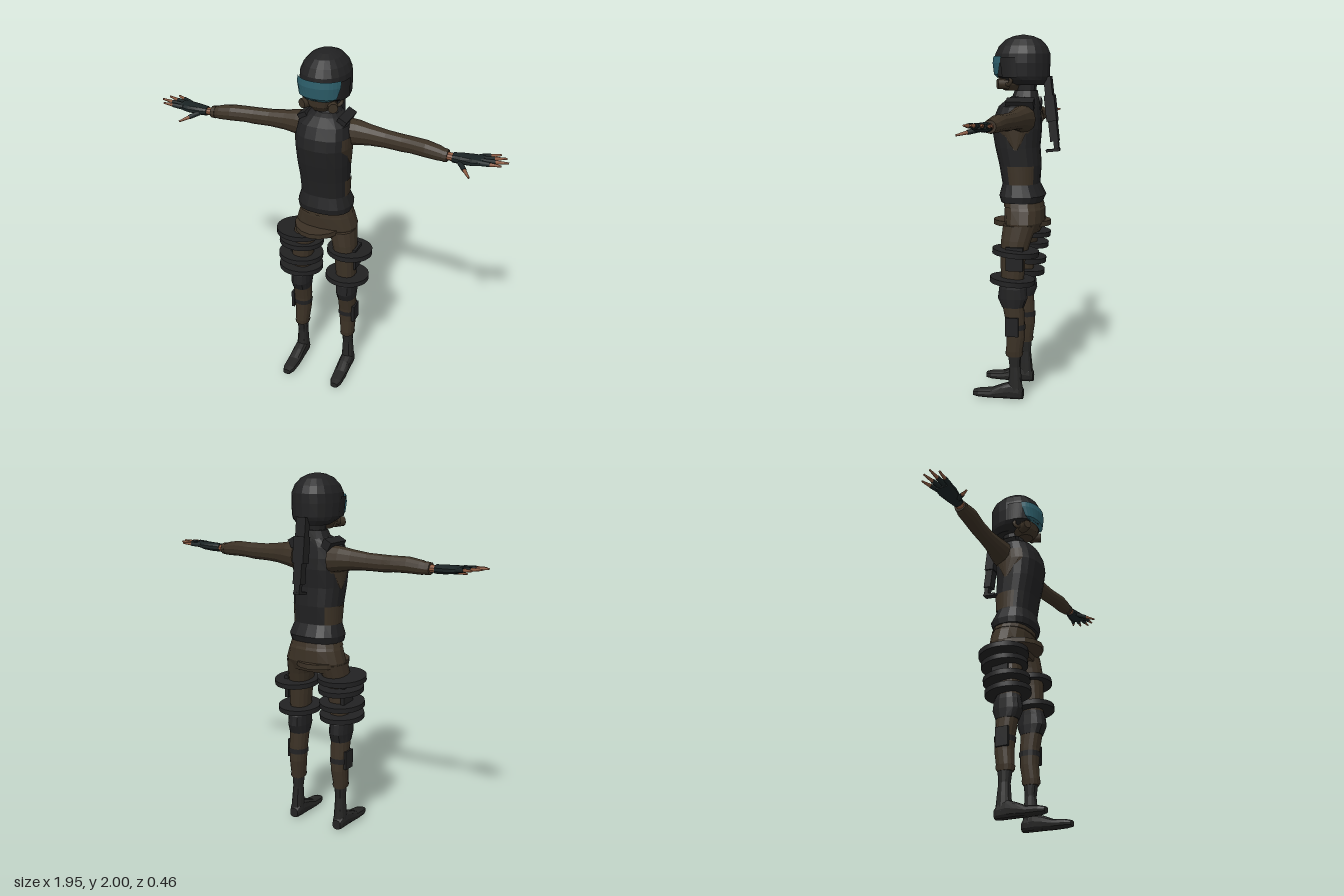
import * as THREE from 'three';

const mat = (name, color) => {
  const m = new THREE.MeshStandardMaterial({ color });
  m.name = name;
  return m;
};

// Lofts rings [s, c1, c2, r1, r2, angle0, angle1] along an axis, with faceted normals.
// y: c1 = x, c2 = z.  x: c1 = z, c2 = y.  z: c1 = y, c2 = x.
function loft(rings, axis = 'y', n = 14, p = 0.85) {
  const pos = [], idx = [];
  const pw = v => Math.sign(v) * Math.pow(Math.abs(v), p);
  const put = (s, a, b) => pos.push(...(axis === 'y' ? [a, s, b] : axis === 'x' ? [s, b, a] : [b, a, s]));
  for (const [s, c1, c2, r1, r2, t0 = 0, t1 = 2 * Math.PI] of rings) {
    for (let j = 0; j <= n; j++) {
      const t = t0 + (t1 - t0) * j / n;
      put(s, c1 + r1 * pw(Math.sin(t)), c2 + r2 * pw(Math.cos(t)));
    }
  }
  const w = n + 1, last = (rings.length - 1) * w;
  for (let i = 0; i < last; i += w) {
    for (let j = i; j < i + n; j++) idx.push(j, j + 1, j + w, j + 1, j + w + 1, j + w);
  }
  if (rings[0].length === 5) {
    const c = pos.length / 3, a = rings[0], b = rings[rings.length - 1];
    put(a[0], a[1], a[2]);
    put(b[0], b[1], b[2]);
    for (let j = 0; j < n; j++) idx.push(c, j + 1, j, c + 1, last + j, last + j + 1);
  }
  let g = new THREE.BufferGeometry();
  g.setAttribute('position', new THREE.Float32BufferAttribute(pos, 3));
  g.setIndex(idx);
  g = g.toNonIndexed();
  g.computeVertexNormals();
  return g;
}

// Thin skin over a lofted body: rows are [y, angle0, angle1] in degrees from the front.
function skinOver(rings, rows, off, n = 8) {
  return loft(rows.map(([y, a, b]) => {
    const i = Math.max(1, rings.findIndex(r => r[0] >= y));
    const lo = rings[i - 1], hi = rings[i], k = (y - lo[0]) / (hi[0] - lo[0]);
    const v = lo.map((q, m) => q + (hi[m] - q) * k);
    return [y, v[1], v[2], v[3] + off, v[4] + off, a * Math.PI / 180, b * Math.PI / 180];
  }), 'y', n);
}

export function createModel() {
  const root = new THREE.Group();
  root.name = 'armouredFigure';
  const black = mat('black armour', 0x212122), brown = mat('brown cloth', 0x3b3125),
    teal = mat('teal visor', 0x2c5d69), skin = mat('skin', 0x8c5a40),
    glove = mat('dark glove', 0x1a2324), boot = mat('boot grey', 0x252524);
  teal.side = THREE.DoubleSide;

  const add = (parent, name, geo, m, x = 0, y = 0, z = 0) => {
    const mesh = new THREE.Mesh(geo, m);
    mesh.name = name;
    mesh.position.set(x, y, z);
    parent.add(mesh);
    return mesh;
  };
  const box = (w, h, d) => new THREE.BoxGeometry(w, h, d);
  // Tapered rod between two points
  const rod = (parent, name, a, b, r0, r1, m) => {
    const d = b.clone().sub(a);
    const mesh = add(parent, name, new THREE.CylinderGeometry(r1, r0, d.length(), 7), m);
    mesh.position.copy(a).addScaledVector(d, 0.5);
    mesh.quaternion.setFromUnitVectors(new THREE.Vector3(0, 1, 0), d.normalize());
  };

  // Helmet, visor and mask
  const helmet = [
    [1.735, 0, -0.065, 0.085, 0.085], [1.76, 0, -0.045, 0.118, 0.12], [1.78, 0, -0.027, 0.128, 0.147],
    [1.85, 0, -0.024, 0.133, 0.153], [1.9, 0, -0.027, 0.129, 0.15], [1.94, 0, -0.029, 0.112, 0.132],
    [1.975, 0, -0.03, 0.08, 0.097], [1.993, 0, -0.03, 0.044, 0.054], [2, 0, -0.03, 0.012, 0.014]];
  add(root, 'helmet', loft(helmet, 'y', 20, 0.95), black);
  add(root, 'visor', skinOver(helmet, [[1.772, -24, 24], [1.79, -46, 46], [1.85, -56, 56], [1.886, -56, 56]], 0.007, 12), teal);
  for (const s of [-1, 1]) {
    add(root, 'visorMount', skinOver(helmet, [[1.775, s * 70 - 17, s * 70 + 17], [1.88, s * 70 - 17, s * 70 + 17]], 0.006), black);
  }
  add(root, 'mask', loft([[1.705, 0, 0.03, 0.045, 0.05], [1.735, 0, 0.035, 0.07, 0.068], [1.79, 0, 0.035, 0.09, 0.075]], 'y', 12), brown);
  for (const s of [-1, 1]) {
    add(root, 'maskFilter', new THREE.CylinderGeometry(0.026, 0.03, 0.06, 9).rotateX(Math.PI / 2).rotateY(s * 0.5), brown, s * 0.072, 1.74, 0.068);
    add(root, 'maskHose', new THREE.TorusGeometry(0.024, 0.011, 6, 10).rotateY(s * 0.9), brown, s * 0.09, 1.76, 0.035);
  }
  add(root, 'neck', loft([[1.68, 0, -0.045, 0.05, 0.052], [1.77, 0, -0.05, 0.055, 0.06]], 'y', 12), black);
  add(root, 'collar', loft([[1.65, 0, -0.04, 0.085, 0.078], [1.705, 0, -0.045, 0.062, 0.064]], 'y', 12), black);

  // Vest with cloth showing at the sides
  const vest = [
    [1.1, 0, -0.025, 0.148, 0.112], [1.135, 0, -0.028, 0.153, 0.125], [1.2, 0, -0.02, 0.132, 0.1],
    [1.3, 0, -0.015, 0.136, 0.112], [1.4, 0, 0, 0.143, 0.12], [1.5, 0, 0.004, 0.148, 0.133],
    [1.56, 0, 0, 0.148, 0.126], [1.62, 0, -0.01, 0.137, 0.11], [1.66, 0, -0.03, 0.09, 0.085], [1.68, 0, -0.04, 0.06, 0.06]];
  add(root, 'vest', loft(vest, 'y', 18, 0.8), black);
  for (const s of [-1, 1]) {
    add(root, 'sidePouch', skinOver(vest, [[1.2, s * 105 - 35, s * 105 + 35], [1.3, s * 105 - 35, s * 105 + 35]], 0.004), brown);
    add(root, 'underarmCloth', skinOver(vest, [[1.39, s * 95 - 3, s * 95 + 3], [1.5, s * 95 - 38, s * 95 + 38], [1.56, s * 95 - 38, s * 95 + 38]], 0.004), brown);
    add(root, 'shoulderStrap', box(0.05, 0.05, 0.15), black, s * 0.105, 1.635, -0.035).rotation.z = -s * 0.5;
  }

  // Slanted gear hanging on the back
  const gear = new THREE.Group();
  gear.name = 'backGear';
  gear.position.set(0, 1.58, -0.187);
  gear.rotation.x = 0.115;
  root.add(gear);
  add(gear, 'gearTop', box(0.06, 0.11, 0.04), black, 0, 0.145, 0);
  add(gear, 'gearBody', box(0.068, 0.14, 0.055), black, 0, 0.03, 0);
  add(gear, 'gearLower', box(0.05, 0.12, 0.045), black, 0, -0.09, -0.002);
  add(gear, 'gearTail', box(0.035, 0.06, 0.026), black, 0, -0.17, -0.008);
  add(gear, 'gearFoot', box(0.04, 0.014, 0.075), black, 0, -0.198, 0.014);

  // Hips, belt and the flat hip flap
  add(root, 'hips', loft([[0.935, 0, -0.035, 0.168, 0.09], [0.99, 0, -0.042, 0.177, 0.108],
    [1.06, 0, -0.04, 0.155, 0.108], [1.12, 0, -0.03, 0.125, 0.092]], 'y', 16), brown);
  add(root, 'belt', loft([[1.075, 0, -0.036, 0.152, 0.109], [1.1, 0, -0.033, 0.142, 0.105]], 'y', 16), brown);
  add(root, 'hipFlap', loft([[0.965, -0.03, -0.018, 0.14, 0.162], [0.993, -0.03, -0.018, 0.14, 0.162]], 'y', 16, 1), brown);

  // Arm and leg, built for the left and mirrored
  const V = (x, y, z) => new THREE.Vector3(x, y, z);
  for (const side of [1, -1]) {
    const half = new THREE.Group();
    half.name = side > 0 ? 'leftLimbs' : 'rightLimbs';
    half.scale.x = side;
    root.add(half);

    add(half, 'sleeve', loft([
      [0.11, -0.05, 1.555, 0.07, 0.075], [0.17, -0.05, 1.56, 0.061, 0.067], [0.24, -0.046, 1.56, 0.05, 0.055],
      [0.33, -0.042, 1.557, 0.043, 0.047], [0.42, -0.035, 1.555, 0.042, 0.046], [0.47, -0.03, 1.557, 0.044, 0.043],
      [0.55, -0.018, 1.557, 0.046, 0.043], [0.62, -0.012, 1.55, 0.041, 0.038], [0.65, -0.008, 1.547, 0.033, 0.031]], 'x', 12, 0.95), brown);
    add(half, 'cuff', loft([[0.645, -0.007, 1.547, 0.037, 0.035], [0.668, -0.005, 1.547, 0.034, 0.032]], 'x', 12, 1), brown);
    add(half, 'wrist', loft([[0.66, -0.003, 1.547, 0.024, 0.021], [0.71, 0, 1.547, 0.024, 0.019]], 'x', 10, 1), skin);
    add(half, 'gloveHand', loft([[0.695, 0, 1.547, 0.029, 0.024], [0.74, 0, 1.549, 0.04, 0.025],
      [0.8, 0, 1.553, 0.052, 0.022], [0.85, 0, 1.56, 0.05, 0.014]], 'x', 10, 0.9), glove);
    const fingers = [
      [V(0.82, 1.558, -0.036), V(0.92, 1.567, -0.078)], [V(0.835, 1.56, -0.014), V(0.957, 1.571, -0.042)],
      [V(0.84, 1.561, 0.011), V(0.975, 1.572, 0.004)], [V(0.83, 1.56, 0.035), V(0.947, 1.569, 0.043)],
      [V(0.735, 1.54, 0.025), V(0.81, 1.515, 0.12)]];
    for (const [a, b] of fingers) {
      const mid = a.clone().lerp(b, 0.52);
      rod(half, 'fingerGlove', a, mid, 0.014, 0.012, glove);
      rod(half, 'fingerTip', mid, b, 0.01, 0.005, skin);
    }

    const leg = [
      [0.25, 0.145, -0.01, 0.035, 0.043], [0.28, 0.145, -0.01, 0.04, 0.047], [0.36, 0.142, -0.018, 0.046, 0.051],
      [0.45, 0.141, -0.014, 0.05, 0.053], [0.54, 0.14, -0.003, 0.051, 0.06], [0.6, 0.14, 0, 0.053, 0.068],
      [0.68, 0.136, 0.002, 0.055, 0.064], [0.8, 0.131, 0, 0.061, 0.069], [0.9, 0.118, -0.015, 0.067, 0.084],
      [0.98, 0.1, -0.032, 0.076, 0.094]];
    add(half, 'trouserLeg', loft(leg), brown);
    add(half, 'kneePad', loft([[0.53, 0.14, -0.002, 0.053, 0.062], [0.58, 0.14, 0, 0.057, 0.083],
      [0.635, 0.14, 0, 0.057, 0.076], [0.66, 0.138, 0.002, 0.056, 0.066]]), black);
    add(half, 'shinStrap', skinOver(leg, [[0.405, 0, 360], [0.435, 0, 360]], 0.004, 14), black);
    add(half, 'shinPad', box(0.018, 0.105, 0.072), black, 0.19, 0.425, -0.006);
    add(half, 'thighPad', box(0.024, 0.13, 0.095), black, 0.187, 0.805, -0.02);
    add(half, 'trouserHem', skinOver(leg, [[0.255, 0, 360], [0.28, 0, 360]], 0.004, 14), brown);

    add(half, 'bootShaft', loft([[0.04, 0.148, -0.015, 0.036, 0.045], [0.12, 0.147, -0.015, 0.032, 0.037],
      [0.19, 0.146, -0.014, 0.028, 0.031], [0.255, 0.145, -0.012, 0.033, 0.038]], 'y', 12), boot);
    add(half, 'bootFoot', loft([[-0.06, 0.032, 0.148, 0.028, 0.026], [-0.04, 0.045, 0.148, 0.043, 0.035],
      [0.01, 0.05, 0.148, 0.049, 0.037], [0.06, 0.042, 0.149, 0.04, 0.038], [0.12, 0.029, 0.15, 0.027, 0.039],
      [0.19, 0.026, 0.152, 0.022, 0.035], [0.222, 0.024, 0.153, 0.016, 0.022]], 'z', 12, 0.75), boot);
  }

  // Tilted discs around the thighs: [x, y, z, radius]
  const discs = [
    [-0.155, 0.902, -0.02, 0.136], [-0.148, 0.84, -0.018, 0.127], [-0.147, 0.75, -0.005, 0.127],
    [-0.143, 0.68, 0.002, 0.125], [0.146, 0.84, -0.018, 0.127], [0.141, 0.68, 0.002, 0.123]];
  for (const [x, y, z, r] of discs) {
    add(root, 'thighDisc', new THREE.CylinderGeometry(r, r, 0.028, 28), black, x, y, z).rotation.x = -0.09;
  }
  return root;
}
